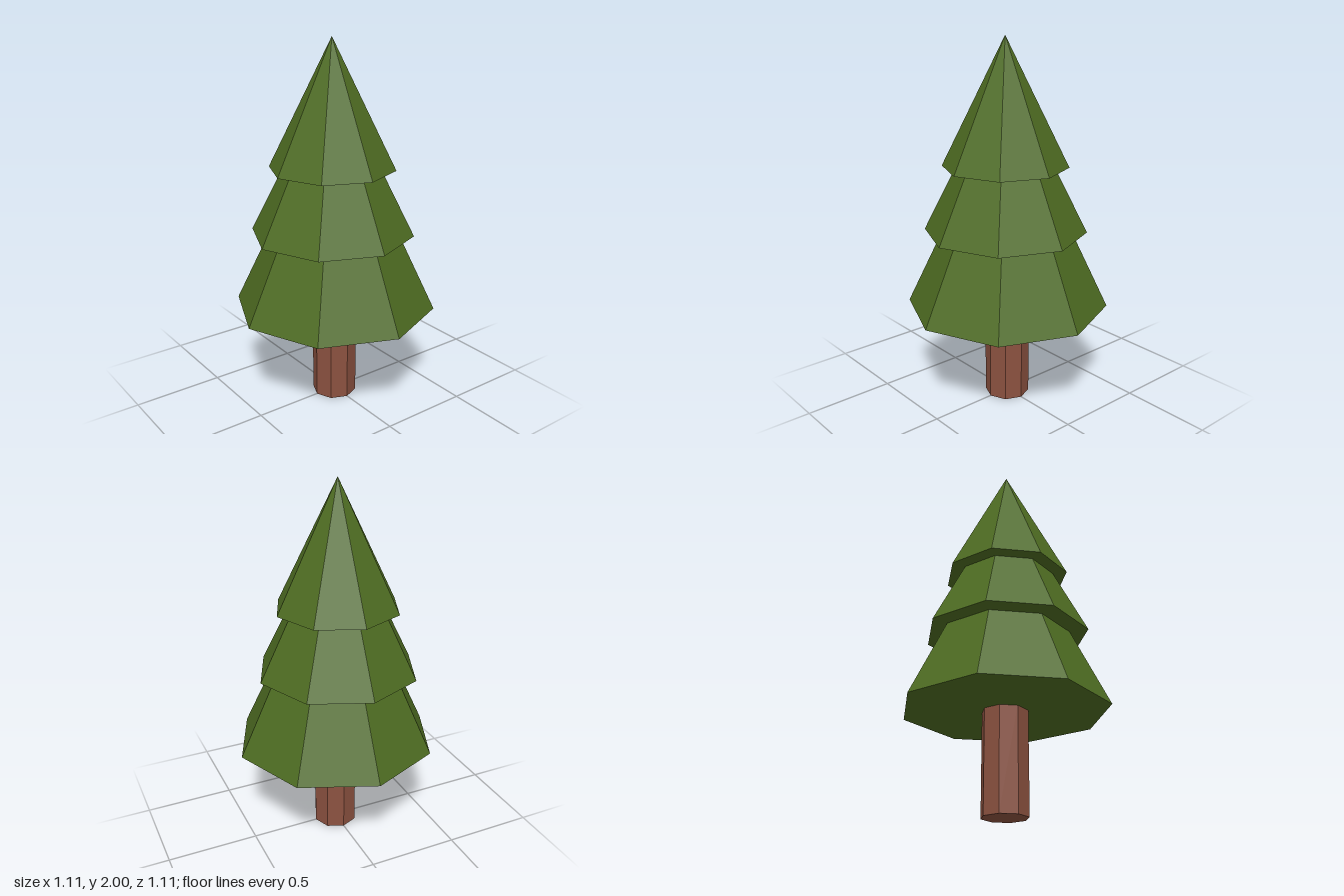
import * as THREE from 'three';

const SIDES = 8;

export function createModel() {
  const tree = new THREE.Group();
  tree.name = 'pineTree';

  const bark = new THREE.MeshStandardMaterial({ color: 0x8c5240, flatShading: true });
  const needles = new THREE.MeshStandardMaterial({ color: 0x4e6c22, flatShading: true });

  // Trunk
  const trunkHeight = 0.55;
  const trunk = new THREE.Mesh(
    new THREE.CylinderGeometry(0.123, 0.123, trunkHeight, SIDES), bark);
  trunk.name = 'trunk';
  trunk.position.y = trunkHeight / 2;
  tree.add(trunk);

  // Three overlapping tiers of foliage; the upper two sit slightly off centre
  const tiers = [
    { name: 'lowerFoliage', radius: 0.553, base: 0.543, tip: 1.7, x: 0 },
    { name: 'middleFoliage', radius: 0.443, base: 0.963, tip: 1.84, x: -0.015 },
    { name: 'upperFoliage', radius: 0.34, base: 1.32, tip: 2, x: -0.015 },
  ];
  for (const { name, radius, base, tip, x } of tiers) {
    const cone = new THREE.Mesh(new THREE.ConeGeometry(radius, tip - base, SIDES), needles);
    cone.name = name;
    cone.position.set(x, (base + tip) / 2, 0);
    tree.add(cone);
  }

  return tree;
}
